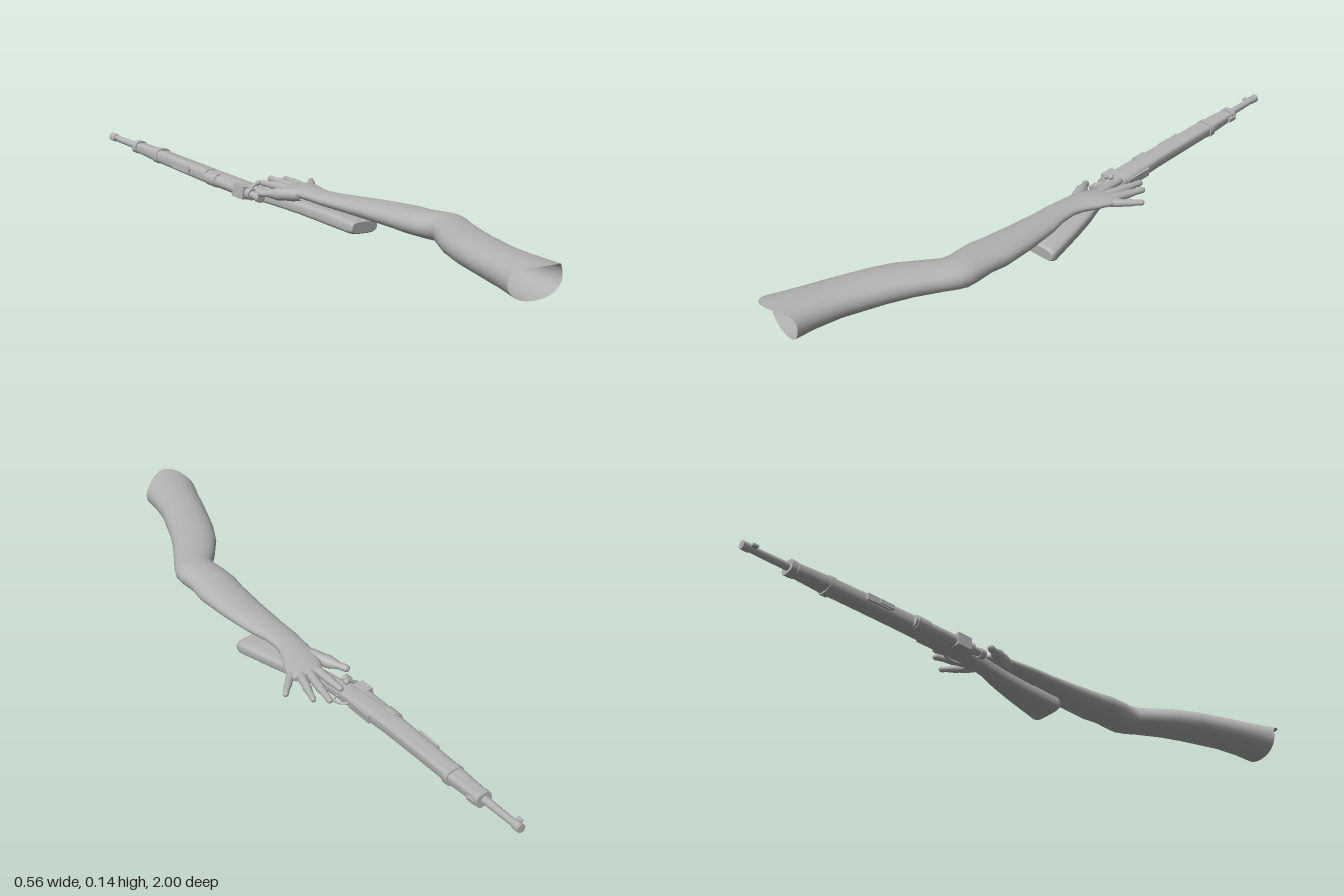
import * as THREE from 'three';

const grey = new THREE.MeshStandardMaterial({ color: 0xb2b2b2, side: THREE.DoubleSide });
grey.name = 'plain grey';

const V = (x, y, z) => new THREE.Vector3(x, y, z);

// Skin over superellipse rings. Each row: [z, centreX, centreY, radiusX, radiusY]
function loft(rows, { n = 20, power = 2, capStart = true, capEnd = true, shift = () => 0 } = {}) {
  const pos = [], idx = [];
  const e = 2 / power;
  const ring = ([z, cx, cy, rx, ry], k) => {
    for (let j = 0; j < n; j++) {
      const t = (j / n) * Math.PI * 2, c = Math.cos(t), s = Math.sin(t);
      pos.push(cx + rx * Math.sign(c) * Math.abs(c) ** e,
        cy + ry * Math.sign(s) * Math.abs(s) ** e, z + shift(k, t));
    }
  };
  rows.forEach(ring);
  for (let k = 0; k < rows.length - 1; k++) {
    for (let j = 0; j < n; j++) {
      const a = k * n + j, b = k * n + (j + 1) % n;
      idx.push(a, b, b + n, a, b + n, a + n);
    }
  }
  const cap = (row, k, end) => {
    const base = pos.length / 3;
    ring(row, k);
    pos.push(row[1], row[2], row[0]);
    for (let j = 0; j < n; j++) {
      const a = base + j, b = base + (j + 1) % n;
      idx.push(base + n, end ? a : b, end ? b : a);
    }
  };
  if (capStart) cap(rows[0], 0, false);
  if (capEnd) cap(rows[rows.length - 1], rows.length - 1, true);
  const g = new THREE.BufferGeometry();
  g.setAttribute('position', new THREE.Float32BufferAttribute(pos, 3));
  g.setIndex(idx);
  g.computeVertexNormals();
  return g;
}

function add(parent, name, geometry, x = 0, y = 0, z = 0) {
  const m = new THREE.Mesh(geometry, grey);
  m.name = name;
  m.position.set(x, y, z);
  parent.add(m);
  return m;
}

// Round-tipped tapering digit between two points
function digit(parent, name, from, to, r0, r1) {
  const dir = to.clone().sub(from), len = dir.length();
  const pts = [[r0 * 0.9, 0], [r0, len * 0.2], [r0 * 0.9, len * 0.4], [r0 * 0.95, len * 0.52],
    [r1, len * 0.75], [r1, len - r1], [r1 * 0.75, len - r1 * 0.35], [0.0001, len]];
  const g = new THREE.LatheGeometry(pts.map(([r, y]) => new THREE.Vector2(r, y)), 12);
  const m = add(parent, name, g, from.x, from.y, from.z);
  m.quaternion.setFromUnitVectors(V(0, 1, 0), dir.normalize());
}

const rod = (r0, r1, len, n = 16) => new THREE.CylinderGeometry(r1, r0, len, n).rotateX(Math.PI / 2);

// Rifle in its own frame: +z from muzzle to butt, +x towards the underside, y across
function createRifle() {
  const rifle = new THREE.Group();
  rifle.name = 'rifle';

  // Barrel and front sight
  add(rifle, 'barrel', rod(0.010, 0.013, 0.22), 0, 0, 0.11);
  add(rifle, 'muzzle', rod(0.013, 0.013, 0.025), 0, 0, 0.0125);
  add(rifle, 'frontSight', new THREE.BoxGeometry(0.016, 0.006, 0.018), -0.017, 0, 0.03);

  // Fore-end, grip and butt in one piece
  add(rifle, 'stock', loft([
    [0.15, 0.003, 0, 0.019, 0.016], [0.28, 0.003, 0, 0.025, 0.02], [0.40, 0.001, 0, 0.027, 0.021],
    [0.56, 0.001, 0, 0.028, 0.022], [0.66, 0.004, 0, 0.030, 0.022], [0.76, 0.010, 0, 0.028, 0.021],
    [0.82, 0.018, 0, 0.025, 0.019], [0.88, 0.029, 0, 0.026, 0.019], [0.95, 0.046, 0, 0.034, 0.020],
    [1.03, 0.060, 0, 0.042, 0.022], [1.10, 0.069, 0, 0.050, 0.023], [1.165, 0.078, 0, 0.057, 0.0235],
    [1.177, 0.079, 0, 0.055, 0.021], [1.182, 0.079, 0, 0.051, 0.017],
  ], { n: 28, power: 3.4 }), 0, 0, 0);
  add(rifle, 'handguard', loft([
    [0.17, -0.004, 0, 0.018, 0.017], [0.28, -0.005, 0, 0.022, 0.021], [0.555, -0.005, 0, 0.028, 0.0235],
  ], { power: 2.8 }));

  // Bands around the fore-end
  for (const [z, rx, ry] of [[0.157, 0.025, 0.021], [0.28, 0.031, 0.025]]) {
    add(rifle, 'band', loft([[z - 0.01, 0.002, 0, rx, ry], [z + 0.01, 0.002, 0, rx, ry]], { n: 24, power: 2.8 }));
  }
  add(rifle, 'bandLug', new THREE.BoxGeometry(0.012, 0.012, 0.03), 0.026, 0, 0.17);

  // Rear sight, receiver and bolt
  add(rifle, 'rearSightBase', new THREE.BoxGeometry(0.014, 0.02, 0.08), -0.03, 0, 0.43);
  add(rifle, 'rearSightLeaf', new THREE.BoxGeometry(0.008, 0.014, 0.05), -0.037, 0, 0.455);
  add(rifle, 'receiver', rod(0.019, 0.019, 0.22), -0.021, 0, 0.67);
  add(rifle, 'receiverBridge', new THREE.BoxGeometry(0.034, 0.04, 0.05), -0.027, 0, 0.735);
  add(rifle, 'receiverRing', rod(0.022, 0.022, 0.045), -0.021, 0, 0.59);
  add(rifle, 'bolt', rod(0.012, 0.012, 0.07), -0.023, 0, 0.79);
  add(rifle, 'boltCocking', rod(0.015, 0.015, 0.018), -0.023, 0, 0.815);
  const handle = add(rifle, 'boltHandle', new THREE.CylinderGeometry(0.005, 0.005, 0.035, 10), -0.012, 0.026, 0.77);
  handle.rotation.z = -0.9;
  add(rifle, 'boltKnob', new THREE.SphereGeometry(0.009, 12, 8), 0.004, 0.034, 0.77);

  // Magazine floor, trigger guard and trigger
  add(rifle, 'magazineFloor', new THREE.BoxGeometry(0.016, 0.026, 0.1), 0.03, 0, 0.67);
  const guard = new THREE.CatmullRomCurve3([
    V(0.03, 0, 0.72), V(0.05, 0, 0.735), V(0.061, 0, 0.765), V(0.06, 0, 0.795), V(0.04, 0, 0.825)]);
  add(rifle, 'triggerGuard', new THREE.TubeGeometry(guard, 16, 0.004, 8));
  const trigger = new THREE.CatmullRomCurve3([V(0.03, 0, 0.77), V(0.043, 0, 0.773), V(0.053, 0, 0.766)]);
  add(rifle, 'trigger', new THREE.TubeGeometry(trigger, 8, 0.003, 8));

  // Lay the rifle on its side, pointing back and slightly upwards
  const along = V(0.267, -0.074, 0.961).normalize();
  const down = V(0.954, -0.1, -0.275);
  down.addScaledVector(along, -down.dot(along)).normalize();
  const across = along.clone().cross(down);
  rifle.quaternion.setFromRotationMatrix(new THREE.Matrix4().makeBasis(down, across, along));
  rifle.position.set(-0.265, 0.12, -0.998);
  return rifle;
}

function createArm() {
  const arm = new THREE.Group();
  arm.name = 'arm';

  // Palm, forearm, elbow and upper arm, open at the shoulder with a ragged upper lip
  const rows = [
    [-0.195, 0.050, 0.089, 0.042, 0.010], [-0.175, 0.048, 0.090, 0.053, 0.014],
    [-0.14, 0.043, 0.092, 0.056, 0.017], [-0.10, 0.041, 0.093, 0.053, 0.019],
    [-0.065, 0.044, 0.094, 0.046, 0.018], [-0.03, 0.050, 0.094, 0.043, 0.018],
    [0.02, 0.066, 0.093, 0.047, 0.020], [0.08, 0.094, 0.092, 0.055, 0.023],
    [0.185, 0.135, 0.092, 0.064, 0.029], [0.29, 0.170, 0.092, 0.071, 0.034],
    [0.345, 0.180, 0.092, 0.070, 0.036], [0.40, 0.202, 0.092, 0.070, 0.039],
    [0.43, 0.214, 0.092, 0.066, 0.040], [0.46, 0.215, 0.092, 0.062, 0.039],
    [0.50, 0.202, 0.092, 0.067, 0.038], [0.58, 0.180, 0.093, 0.072, 0.041],
    [0.66, 0.169, 0.092, 0.073, 0.043], [0.79, 0.164, 0.090, 0.072, 0.046],
    [0.87, 0.168, 0.088, 0.076, 0.050], [0.935, 0.173, 0.086, 0.084, 0.056],
  ];
  const last = rows.length - 1;
  add(arm, 'armAndPalm', loft(rows, {
    n: 24, power: 2.15, capEnd: false,
    shift: (k, t) => (k === last ? 0.065 * Math.max(0, Math.sin(t)) ** 3 : 0),
  }));

  // Spread fingers and thumb
  digit(arm, 'indexFinger', V(0.012, 0.090, -0.165), V(-0.03, 0.089, -0.283), 0.0145, 0.010);
  digit(arm, 'middleFinger', V(0.036, 0.090, -0.175), V(0.018, 0.089, -0.325), 0.0145, 0.010);
  digit(arm, 'ringFinger', V(0.062, 0.090, -0.175), V(0.062, 0.088, -0.305), 0.014, 0.0095);
  digit(arm, 'littleFinger', V(0.085, 0.089, -0.16), V(0.132, 0.086, -0.255), 0.0125, 0.009);
  digit(arm, 'thumb', V(0.015, 0.090, -0.085), V(-0.085, 0.082, -0.19), 0.021, 0.011);
  return arm;
}

export function createModel() {
  const model = new THREE.Group();
  model.name = 'armWithRifle';
  model.add(createRifle(), createArm());
  // Rest on the ground
  model.updateMatrixWorld(true);
  const low = new THREE.Box3().setFromObject(model, true).min.y;
  for (const part of model.children) part.position.y -= low;
  return model;
}
